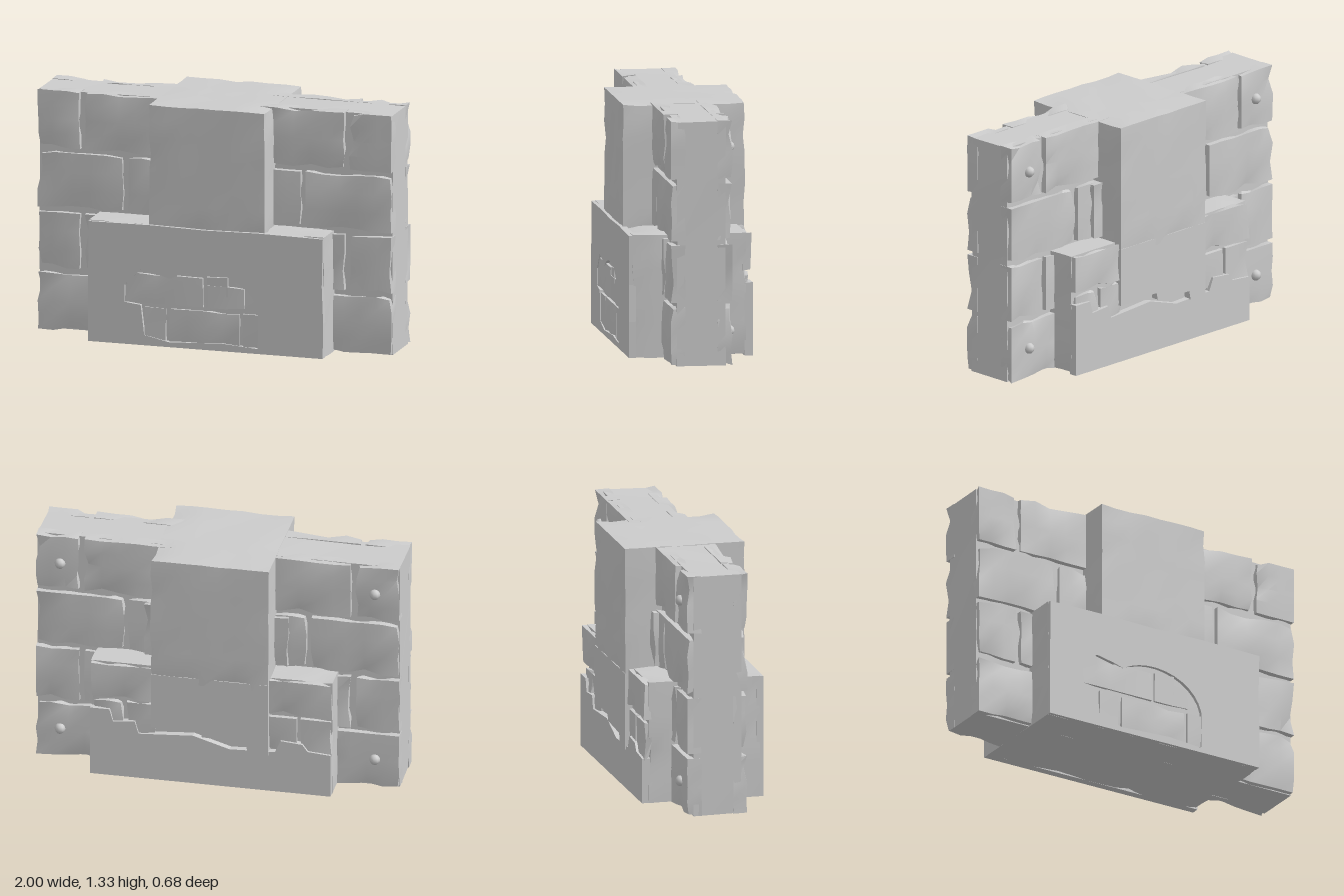
import * as THREE from 'three';
import { mergeVertices, toCreasedNormals } from 'three/addons/utils/BufferGeometryUtils.js';

const stone = new THREE.MeshStandardMaterial({ color: 0xcccccc });
stone.name = 'pale stone';

// Repeatable noise from 0 to 1 by position, so shared corners move together
function noise(x, y, z, k) {
  const s = Math.sin(x * 127.1 + y * 311.7 + z * 74.7 + k * 53.3) * 43758.5453;
  return s - Math.floor(s);
}

export function createModel() {
  const model = new THREE.Group();

  function add(name, geometry) {
    const mesh = new THREE.Mesh(geometry, stone);
    mesh.name = name;
    model.add(mesh);
    return mesh;
  }

  // Worn block: edges are bevelled and chipped inwards, faces slightly uneven
  function block(name, [x0, x1], [y0, y1], [z0, z1], chip = 0.012, step = 0.09) {
    const size = [x1 - x0, y1 - y0, z1 - z0];
    const mid = [(x0 + x1) / 2, (y0 + y1) / 2, (z0 + z1) / 2];
    const seg = size.map(s => Math.max(1, Math.round(s / step)));
    let g = new THREE.BoxGeometry(...size, ...seg);
    g.deleteAttribute('normal');
    g.deleteAttribute('uv');
    g = mergeVertices(g, 1e-4);
    const p = g.attributes.position;
    for (let i = 0; i < p.count; i++) {
      const v = [p.getX(i), p.getY(i), p.getZ(i)];
      const w = v.map((c, a) => c + mid[a]);
      const outer = v.map((c, a) => Math.abs(Math.abs(c) - size[a] / 2) < 1e-4);
      const edge = outer.filter(Boolean).length > 1;
      const n = noise(...w, 1);
      const pull = edge ? chip * (0.15 + n * n * n * 1.8) : chip * 0.3 * n;
      p.setXYZ(i, ...w.map((c, a) => outer[a] ? c - Math.sign(v[a]) * pull : c));
    }
    return add(name, toCreasedNormals(g, 0.5));
  }

  // Flat panel in the xy plane with an optional hole
  function panel(name, points, z0, z1, hole) {
    const toVec = ([x, y]) => new THREE.Vector2(x, y);
    const shape = new THREE.Shape(points.map(toVec));
    if (hole) shape.holes.push(new THREE.Path(hole.map(toVec)));
    const g = new THREE.ExtrudeGeometry(shape, { depth: z1 - z0, bevelEnabled: false });
    g.translate(0, 0, z0);
    return add(name, g);
  }

  const mirror = ([a, b], s) => (s > 0 ? [a, b] : [-b, -a]);

  // Wall core behind the mortar joints
  block('wallCore', [-0.997, 0.997], [0, 1.328], [-0.138, 0.13], 0.003, 0.3);

  // Four courses of facing bricks on both sides, listed from the bottom
  const courses = [
    [[0.55, 1]],
    [[0.55, 0.735], [0.757, 1]],
    [[0.25, 0.49], [0.512, 1]],
    [[0.25, 0.735], [0.757, 1]],
  ];
  courses.forEach((bricks, row) => {
    const y = [row === 0 ? 0 : row / 3 + 0.011, row === 3 ? 1.333 : (row + 1) / 3 - 0.009];
    for (const span of bricks) for (const s of [1, -1]) {
      block('frontBrick', mirror(span, s), y, [0.08, 0.163]);
      block('backBrick', mirror(span, s), y, [-0.175, -0.09]);
    }
  });

  for (const s of [1, -1]) {
    // Raised upright stones beside the pillar at the back
    block('backUpright', mirror([0.3, 0.4], s), [0.68, 0.99], [-0.207, -0.1], 0.012);
    // Small studs on the back
    for (const y of [0.17, 1.17]) {
      const stud = add('stud', new THREE.SphereGeometry(0.03, 8, 6));
      stud.position.set(s * 0.865, y, -0.175);
    }
  }

  // Pillar, with its rear face running down over the base
  block('pillar', [-0.32, 0.335], [0.6, 1.333], [-0.345, 0.322], 0.01);
  panel('pillarTail', [[-0.315, 0.22], [-0.2, 0.23], [-0.19, 0.28], [0.05, 0.29],
    [0.06, 0.33], [0.33, 0.32], [0.33, 0.64], [-0.315, 0.64]], -0.342, -0.3);

  // Plinth body
  block('base', [-0.66, 0.67], [0, 0.672], [-0.3, 0.32], 0.01);

  // Front plaster with an arched patch broken away
  const arch = new THREE.EllipseCurve(0, 0.2, 0.305, 0.235, 0, Math.PI * 0.72)
    .getPoints(12).map(v => [v.x, v.y]);
  panel('frontPlaster', [[-0.657, 0.003], [0.667, 0.003], [0.67, 0.2], [0.662, 0.4], [0.668, 0.665],
    [0.3, 0.67], [0, 0.664], [-0.3, 0.67], [-0.655, 0.667]], 0.3, 0.338,
  [...arch, [-0.26, 0.4], [-0.36, 0.42], [-0.45, 0.33], [-0.45, 0.235], [-0.36, 0.225],
    [-0.34, 0.06], [-0.2, 0.03], [0.1, 0.045], [0.3, 0.03]]);

  // Bricks showing inside the patch
  const patch = [
    [[-0.34, -0.215], [0.03, 0.217]], [[-0.2, 0.2], [0.03, 0.217]], [[0.214, 0.31], [0.03, 0.217]],
    [[-0.45, -0.008], [0.235, 0.4]], [[0.006, 0.23], [0.235, 0.36]], [[0.006, 0.13], [0.3, 0.41]],
  ];
  for (const [x, y] of patch) block('patchBrick', x, y, [0.29, 0.336], 0.006);

  // Back plaster with a ragged top edge
  panel('backPlaster', [[-0.655, 0.003], [0.667, 0.003], [0.667, 0.4], [0.56, 0.4], [0.54, 0.33],
    [0.42, 0.34], [0.4, 0.27], [0.1, 0.29], [-0.1, 0.23], [-0.35, 0.24],
    [-0.38, 0.31], [-0.5, 0.3], [-0.53, 0.26], [-0.655, 0.25]], -0.335, -0.29);

  // Exposed bricks above the back plaster
  for (const s of [1, -1]) {
    block('baseBackBrick', mirror([0.3, 0.665], s), [0.462, 0.67], [-0.33, -0.28], 0.01);
    block('baseBackBrick', mirror([0.3, 0.47], s), [0.24, 0.45], [-0.325, -0.28], 0.01);
    block('baseBackBrick', mirror([0.485, 0.66], s), [0.24, 0.45], [-0.325, -0.28], 0.01);
  }

  return model;
}
